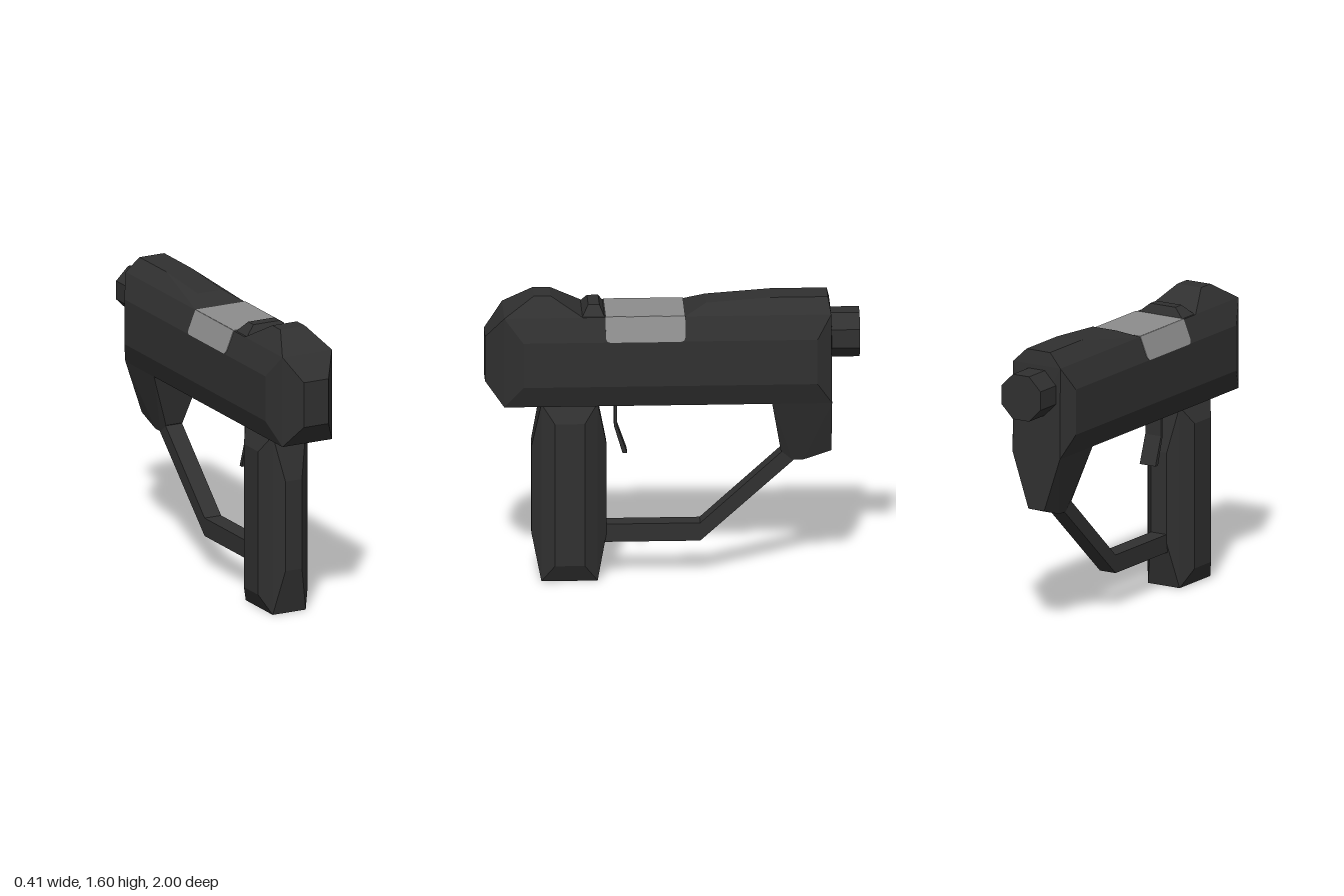
import * as THREE from 'three';
import { ConvexGeometry } from 'three/addons/geometries/ConvexGeometry.js';

export function createModel() {
  const model = new THREE.Group();
  const dark = new THREE.MeshStandardMaterial({ color: 0x303030, flatShading: true });
  dark.name = 'charcoal';
  const grey = new THREE.MeshStandardMaterial({ color: 0x8c8c8c, flatShading: true });
  grey.name = 'steel grey';

  const add = (name, geometry, material = dark) => {
    const mesh = new THREE.Mesh(geometry, material);
    mesh.name = name;
    model.add(mesh);
    return mesh;
  };

  // Faceted solid from [halfWidth, y, z] corners, mirrored left and right
  const faceted = (name, corners) => add(name, new ConvexGeometry(
    corners.flatMap(([x, y, z]) => [new THREE.Vector3(x, y, z), new THREE.Vector3(-x, y, z)])));

  // Side profile of [z, y] points extruded across x, centred
  const profile = (shape, width) => {
    const g = new THREE.ExtrudeGeometry(shape, { depth: width, bevelEnabled: false });
    return g.translate(0, 0, -width / 2).rotateY(-Math.PI / 2);
  };
  const polygon = (points) => new THREE.Shape(points.map(([z, y]) => new THREE.Vector2(z, y)));

  // Main body with chamfered ends
  faceted('body', [
    [0.075, 1.375, 1], [0.075, 1.125, 1],
    [0.15, 1.5, 0.9], [0.15, 1, 0.9],
    [0.2, 1.375, 0.8], [0.2, 1.125, 0.8],
    [0.2, 1.375, -0.77], [0.2, 1.125, -0.77],
    [0.15, 1.5, -0.845], [0.15, 1, -0.85], [0.1, 1.4, -0.85],
  ]);

  // Raised shapes along the top
  faceted('frontHump', [
    [0.15, 1.5, 0.9], [0.075, 1.6, 0.74], [0.075, 1.6, 0.65], [0.15, 1.5, 0.48],
  ]);
  faceted('smallRidge', [
    [0.15, 1.49, 0.49], [0.08, 1.55, 0.45], [0.08, 1.55, 0.39], [0.15, 1.49, 0.36],
  ]);
  faceted('rearRidge', [
    [0.15, 1.5, -0.065], [0.075, 1.55, -0.18], [0.075, 1.575, -0.53],
    [0.075, 1.575, -0.83], [0.15, 1.5, -0.845],
  ]);

  // Grip
  const grip = [];
  for (const s of [-1, 1]) {
    for (const t of [-1, 1]) {
      grip.push([0.1, 0.5 + 0.5 * s, 0.55 + 0.15 * t]);
      grip.push([0.15, 0.5 + 0.4 * s, 0.55 + 0.08 * t]);
      grip.push([0.05, 0.5 + 0.25 * s, 0.55 + 0.2 * t]);
    }
  }
  faceted('grip', grip);

  // Tapered leg under the muzzle end
  faceted('rearLeg', [
    [0.15, 1, -0.53], [0.15, 1, -0.85],
    [0.05, 0.7, -0.58], [0.05, 0.7, -0.85],
    [0.05, 0.65, -0.64], [0.05, 0.65, -0.7],
  ]);

  // Guard bar and trigger
  add('guard', profile(polygon([
    [0.38, 0.3], [-0.15, 0.3], [-0.6, 0.71], [-0.65, 0.65], [-0.15, 0.2], [0.38, 0.2],
  ]), 0.1));
  add('trigger', profile(polygon([
    [0.31, 1.01], [0.295, 1.01], [0.295, 0.855], [0.24, 0.7], [0.265, 0.7], [0.31, 0.85],
  ]), 0.1));

  // Octagonal muzzle
  const muzzle = new THREE.CylinderGeometry(0.134, 0.134, 0.2, 8);
  muzzle.rotateY(Math.PI / 8).rotateX(Math.PI / 2).translate(0, 1.352, -0.9);
  add('muzzle', muzzle);

  // Steel panel wrapped over the top and upper sides
  const z0 = -0.065, z1 = 0.36, r = 0.03;
  add('topPanel', new THREE.BoxGeometry(0.302, 0.008, z1 - z0)
    .translate(0, 1.5, (z0 + z1) / 2), grey);
  const panel = new THREE.Shape();
  panel.moveTo(z0, 1.503);
  panel.lineTo(z0, 1.375 + r);
  panel.quadraticCurveTo(z0, 1.375, z0 + r, 1.375);
  panel.lineTo(z1 - r, 1.375);
  panel.quadraticCurveTo(z1, 1.375, z1, 1.375 + r);
  panel.lineTo(z1, 1.503);
  for (const side of [1, -1]) {
    const g = profile(panel, 0.008);
    const p = g.attributes.position;
    // Lean the plate onto the sloping flank
    for (let i = 0; i < p.count; i++) {
      p.setX(i, p.getX(i) + side * (0.2 - (p.getY(i) - 1.375) * 0.4));
    }
    g.computeVertexNormals();
    add(side > 0 ? 'leftPanel' : 'rightPanel', g, grey);
  }

  return model;
}
